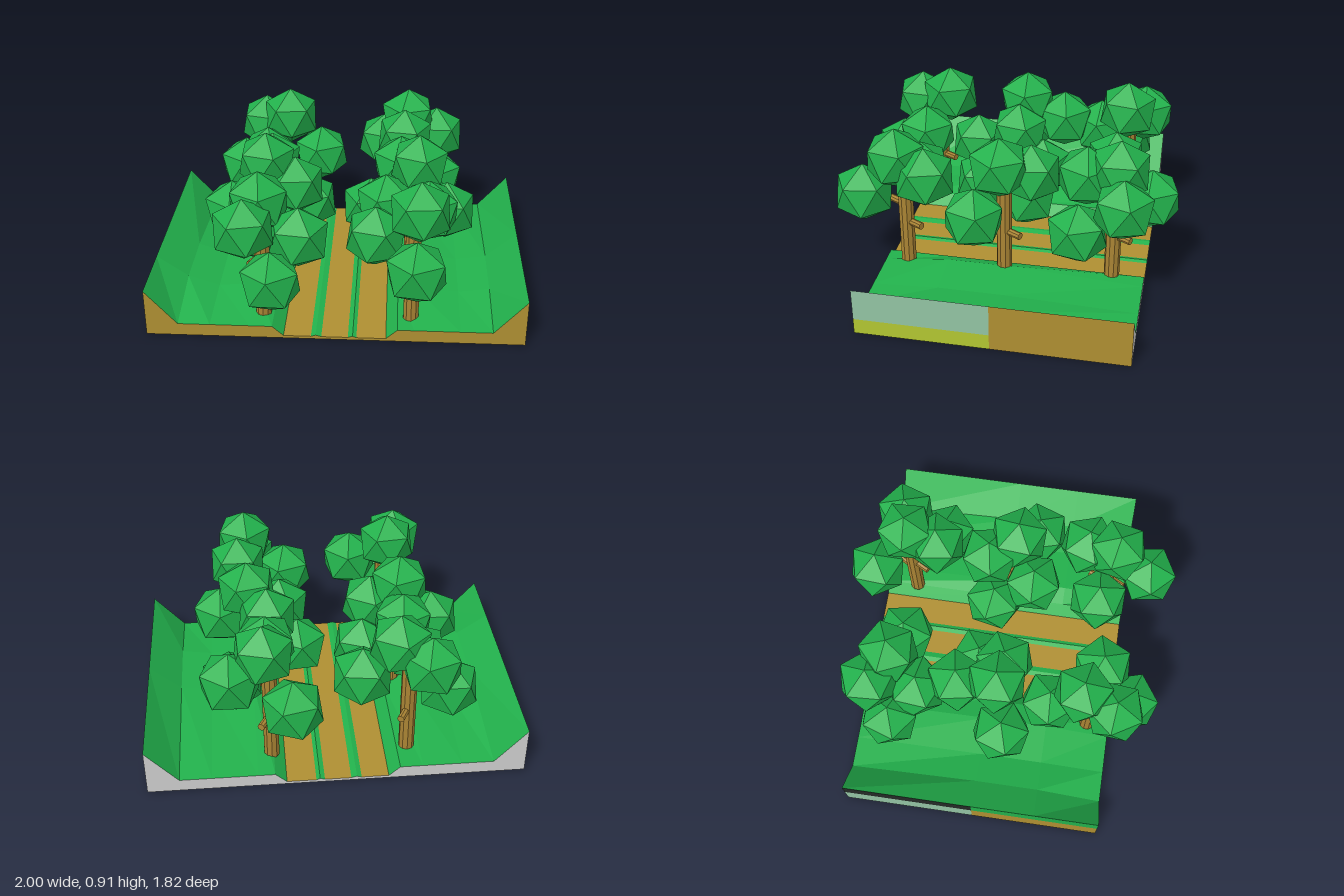
import * as THREE from 'three';

const mat = (name, color) => {
  const m = new THREE.MeshStandardMaterial({ color });
  m.name = name;
  return m;
};

export function createModel() {
  const model = new THREE.Group();
  const green = mat('green', 0x22b14c);
  const brown = mat('earth brown', 0xaf8f32);
  const bark = mat('bark brown', 0xaa8434);
  const sage = mat('sage', 0x93c4a3);
  const lime = mat('lime', 0xb2c732);
  const black = mat('black', 0x242a26);
  const white = mat('white', 0xcfcfcf);

  const add = (parent, name, geometry, material) => {
    const mesh = new THREE.Mesh(geometry, material);
    mesh.name = name;
    parent.add(mesh);
    return mesh;
  };
  const faceted = (g) => {
    const flat = g.index ? g.toNonIndexed() : g;
    flat.computeVertexNormals();
    return flat;
  };

  // Ground cross-section: x, height at both ends, height across the middle
  const BACK = -0.757, FRONT = 0.667, MID = -0.04, TOP = 0.265, BED = 0.015;
  const profile = [
    [-1, TOP, TOP], [-0.83, 0.07, 0.145], [-0.66, 0.07, 0.09], [-0.45, 0.07, 0.11],
    [-0.33, 0.07, 0.07], [-0.27, BED, BED], [-0.125, BED, BED], [-0.1, 0.023, 0.023],
    [-0.07, BED, BED], [0.07, BED, BED], [0.095, 0.023, 0.023], [0.115, BED, BED],
    [0.27, BED, BED], [0.33, 0.07, 0.07], [0.42, 0.07, 0.11], [0.66, 0.07, 0.09],
    [0.83, 0.07, 0.115], [1, TOP, TOP],
  ];
  const sections = [[BACK, 1], [MID, 2], [0.31, 2], [FRONT, 1]];
  const brownColumns = [5, 8, 11];

  // Surface of the chosen profile columns
  function surface(columns) {
    const pos = [];
    const point = (i, j) => [profile[i][0], profile[i][sections[j][1]], sections[j][0]];
    for (const i of columns) {
      for (let j = 0; j < sections.length - 1; j++) {
        const a = point(i, j), b = point(i, j + 1), c = point(i + 1, j + 1), d = point(i + 1, j);
        pos.push(...a, ...b, ...c, ...a, ...c, ...d);
      }
    }
    const g = new THREE.BufferGeometry();
    g.setAttribute('position', new THREE.Float32BufferAttribute(pos, 3));
    g.computeVertexNormals();
    return g;
  }
  const ground = new THREE.Group();
  ground.name = 'ground';
  model.add(ground);
  const allColumns = profile.slice(1).map((_, i) => i);
  add(ground, 'grass', surface(allColumns.filter((i) => !brownColumns.includes(i))), green);
  add(ground, 'track', surface(brownColumns), brown);

  // End walls
  const endShape = () => new THREE.Shape([
    new THREE.Vector2(-1, 0), new THREE.Vector2(1, 0),
    ...profile.map(([x, y]) => new THREE.Vector2(x, y)).reverse(),
  ]);
  add(ground, 'frontWall', new THREE.ShapeGeometry(endShape()), brown).position.z = FRONT;
  const backWall = add(ground, 'backWall', new THREE.ShapeGeometry(endShape()), white);
  backWall.rotation.y = Math.PI;
  backWall.position.z = BACK;
  // The profile is not quite symmetric, so flip the turned wall back into place
  const p = backWall.geometry.attributes.position;
  for (let i = 0; i < p.count; i++) p.setX(i, -p.getX(i));
  backWall.geometry.setIndex([...backWall.geometry.index.array].reverse());

  const base = add(ground, 'underside', new THREE.PlaneGeometry(2, FRONT - BACK), white);
  base.rotation.x = Math.PI / 2;
  base.position.z = (FRONT + BACK) / 2;

  // Side walls, in coloured panels
  function panel(side, z0, z1, y0, y1, material) {
    const m = add(ground, 'sidePanel', new THREE.PlaneGeometry(z1 - z0, y1 - y0), material);
    m.rotation.y = side * Math.PI / 2;
    m.position.set(side, (y0 + y1) / 2, (z0 + z1) / 2);
  }
  panel(1, BACK, MID, 0, TOP, brown);
  panel(1, MID, FRONT, 0, 0.087, lime);
  panel(1, MID, FRONT, 0.087, TOP, sage);
  panel(-1, BACK, MID, 0, 0.155, sage);
  panel(-1, BACK, MID, 0.155, TOP, black);
  panel(-1, MID, FRONT, 0, 0.155, brown);
  panel(-1, MID, FRONT, 0.155, TOP, green);

  // Foliage ball: icosahedron standing on a corner
  const ball = new THREE.IcosahedronGeometry(0.171, 0);
  ball.rotateX(-Math.atan2((1 + Math.sqrt(5)) / 2, 1));
  const trunkGeo = faceted(new THREE.CylinderGeometry(0.042, 0.042, 0.6, 10));
  const branchGeo = faceted(new THREE.CylinderGeometry(0.02, 0.02, 0.11, 8).translate(0, 0.055, 0));

  // Trees: trunk x, z and the foliage centres
  const trees = [
    [-0.385, -0.58, [[-0.6, 0.43, -0.545], [-0.48, 0.66, -0.66], [-0.33, 0.74, -0.57],
      [-0.145, 0.52, -0.53], [-0.45, 0.56, -0.41]]],
    [-0.385, 0, [[-0.4, 0.62, -0.2], [-0.19, 0.41, -0.11], [-0.6, 0.45, 0.07],
      [-0.41, 0.72, 0.02], [-0.25, 0.59, 0.04]]],
    [-0.385, 0.54, [[-0.39, 0.43, 0.31], [-0.4, 0.715, 0.48], [-0.19, 0.56, 0.57],
      [-0.46, 0.65, 0.66], [-0.32, 0.4, 0.745]]],
    [0.34, -0.58, [[0.23, 0.51, -0.76], [0.54, 0.61, -0.64], [0.37, 0.74, -0.6],
      [0.53, 0.44, -0.41], [0.35, 0.68, -0.43]]],
    [0.4, 0, [[0.165, 0.41, -0.08], [0.33, 0.65, -0.13], [0.43, 0.725, 0.02],
      [0.58, 0.5, 0.125], [0.25, 0.54, 0.13]]],
    [0.4, 0.54, [[0.475, 0.65, 0.41], [0.205, 0.54, 0.5], [0.43, 0.725, 0.575],
      [0.415, 0.49, 0.765]]],
  ];
  trees.forEach(([x, z, balls], t) => {
    const tree = new THREE.Group();
    tree.name = 'tree';
    model.add(tree);
    add(tree, 'trunk', trunkGeo, bark).position.set(x, 0.365, z);
    balls.forEach(([bx, by, bz], i) => {
      const leaf = add(tree, 'foliage', ball, green);
      leaf.position.set(bx, by, bz);
      leaf.rotation.y = t * 0.5 + i * 0.37;
    });
    // Stub branches
    [[0.43, 1], [0.33, -1]].forEach(([y, s]) => {
      const branch = add(tree, 'branch', branchGeo, bark);
      branch.position.set(x, y, z);
      branch.rotation.set(s * Math.PI / 2, 0, s * 0.5);
    });
  });
  return model;
}
